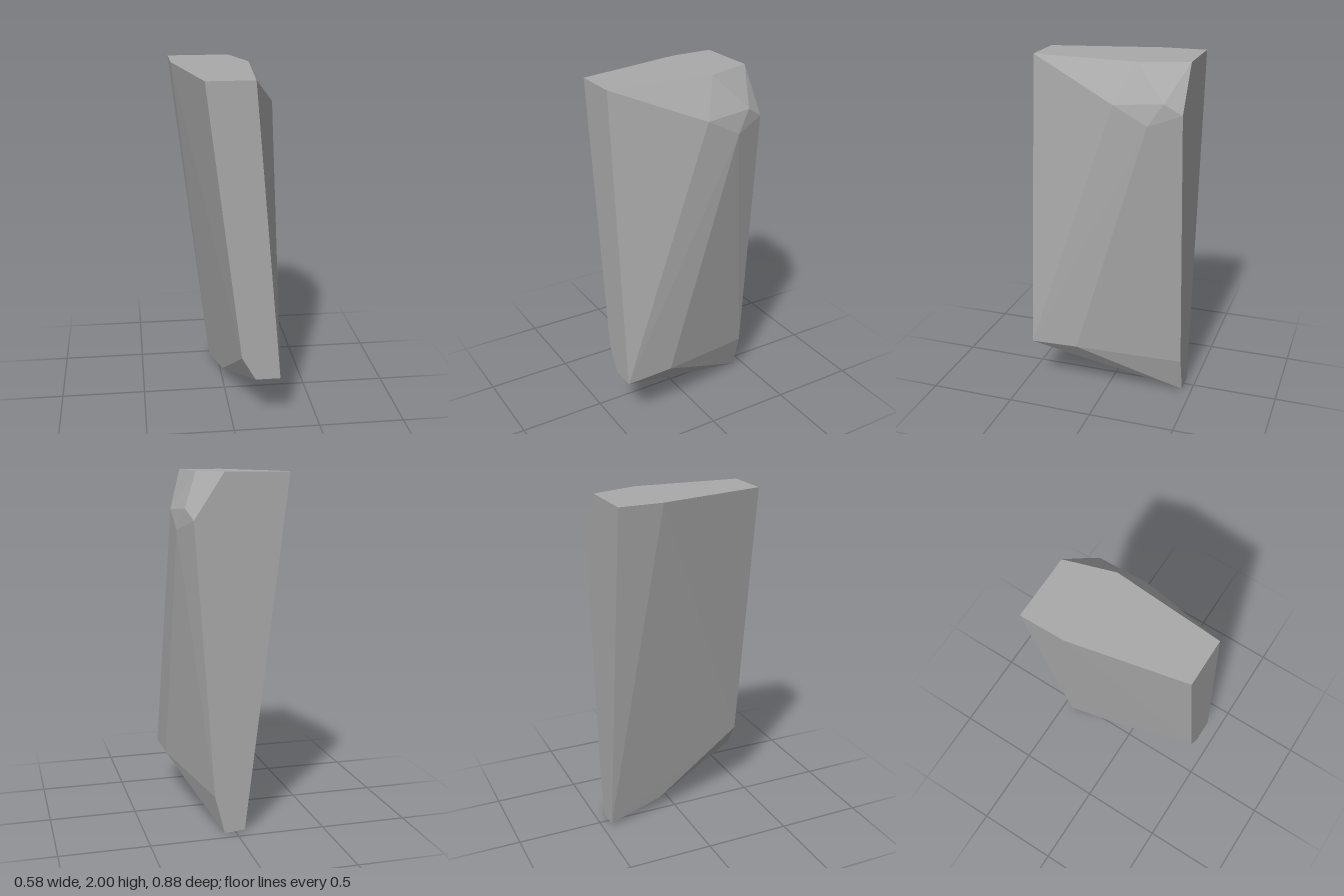
import * as THREE from 'three';
import { ConvexGeometry } from 'three/addons/geometries/ConvexGeometry.js';

const H = 2;        // height of the flat top
const Z = 0.442;    // flat front and back planes

export function createModel() {
  const group = new THREE.Group();
  group.name = 'rockShard';

  const stone = new THREE.MeshStandardMaterial({ color: 0xaaaaaa });
  stone.name = 'grey stone';

  // Corners of the faceted shard
  const corners = [
    // flat top
    [-0.29, H, -Z], [-0.286, H, -0.19], [-0.15, H, Z],
    [0.113, H, Z], [0.157, H, -0.17], [0.07, H, -Z],
    // chipped shoulder on the left
    [0.235, 1.75, -Z], [0.26, 1.81, -0.345], [0.288, 1.69, -0.265], [0.28, 1.79, -0.07],
    // lower front
    [0.05, 0.43, Z], [0.13, 0.29, Z], [0.273, 0.29, Z],
    // lower left side
    [0.275, 0.3, 0.16], [0.12, 0.22, -Z],
    // sloping underside and foot
    [0, 0.08, -0.1], [0.065, 0, -Z], [-0.053, 0.01, -Z],
  ].map((c) => new THREE.Vector3(...c));

  const shard = new THREE.Mesh(new ConvexGeometry(corners), stone);
  shard.name = 'shard';
  group.add(shard);
  return group;
}
